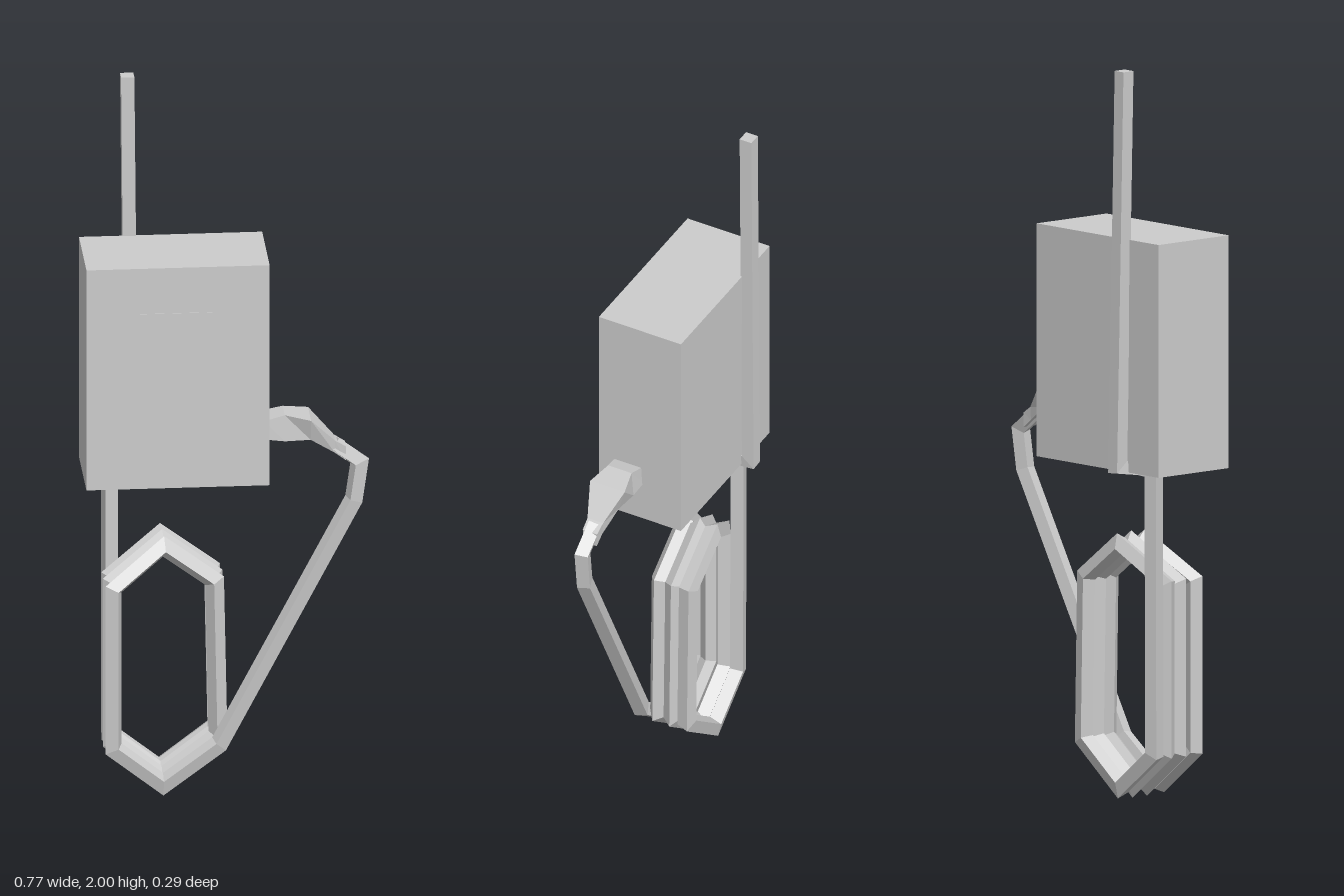
import * as THREE from 'three';

const V = (x, y, z) => new THREE.Vector3(x, y, z);
const material = new THREE.MeshStandardMaterial({ color: 0xcccccc, flatShading: true });

function add(parent, geometry, name, x = 0, y = 0, z = 0) {
  const mesh = new THREE.Mesh(geometry, material);
  mesh.name = name;
  mesh.position.set(x, y, z);
  parent.add(mesh);
  return mesh;
}

// Skins four-cornered rings, each counter-clockwise about the travel direction
function loft(rings) {
  const pos = [];
  const quad = (a, b, c, d) => [a, b, c, a, c, d].forEach(p => pos.push(p.x, p.y, p.z));
  for (let r = 0; r < rings.length - 1; r++) {
    const a = rings[r], b = rings[r + 1];
    for (let i = 0; i < 4; i++) {
      const j = (i + 1) % 4;
      quad(a[i], a[j], b[j], b[i]);
    }
  }
  quad(...[...rings[0]].reverse());
  quad(...rings[rings.length - 1]);
  const g = new THREE.BufferGeometry();
  g.setAttribute('position', new THREE.Float32BufferAttribute(pos, 3));
  g.computeVertexNormals();
  return g;
}

// Square cable along a path that starts downward, with mitred bends
function cable(points, half) {
  let ring = [[1, 1], [-1, 1], [-1, -1], [1, -1]]
    .map(([x, z]) => V(x * half, 0, z * half).add(points[0]));
  const rings = [ring];
  for (let i = 1; i < points.length; i++) {
    const dir = points[i].clone().sub(points[i - 1]).normalize();
    const normal = dir.clone();
    if (i < points.length - 1) {
      normal.add(points[i + 1].clone().sub(points[i]).normalize()).normalize();
    }
    // slide every corner along the segment onto the mitre plane
    ring = ring.map(p => {
      const t = points[i].clone().sub(p).dot(normal) / dir.dot(normal);
      return p.clone().addScaledVector(dir, t);
    });
    rings.push(ring);
  }
  return loft(rings);
}

export function createModel() {
  const model = new THREE.Group();
  model.name = 'wallBoxWithCable';

  // Housing and its thin front panel
  add(model, new THREE.BoxGeometry(0.495, 0.635, 0.252), 'housing', -0.1375, 1.2225, 0.021);
  add(model, new THREE.BoxGeometry(0.195, 0.133, 0.004), 'frontPanel', -0.1425, 1.343, 0.147);

  // Supply conduit: down the back, then hooked under the housing
  const path = [
    V(-0.254, 2, -0.113), V(-0.243, 0.92, -0.126),
    V(-0.25, 0.909, -0.053), V(-0.307, 0.906, -0.053),
  ];

  // Hanging coil: each turn steps forward while crossing the top left
  const turns = [-0.051, -0.006, 0.038, 0.09];
  turns.forEach((z, k) => {
    if (k > 0) path.push(V(-0.307, 0.595, z));
    path.push(V(-0.307, 0.135, z), V(-0.173, 0.029, z));
    if (k < turns.length - 1) {
      path.push(V(-0.021, 0.145, z), V(-0.03, 0.592, z), V(-0.168, 0.695, z));
    }
  });

  // Free end: up the side and over into the plug
  path.push(V(-0.022, 0.14, 0.088), V(0.344, 0.826, 0.062), V(0.36, 0.935, 0.06), V(0.29, 0.988, 0.06));
  add(model, cable(path, 0.018), 'cable');

  // Plug handle: x, bottom y, top y, half width of the bottom and top
  const sections = [
    [0.10, 1.02, 1.072, 0.045, 0.042],
    [0.155, 1.012, 1.085, 0.042, 0.036],
    [0.225, 1.012, 1.073, 0.036, 0.053],
    [0.292, 0.967, 1.003, 0.022, 0.024],
    [0.322, 0.944, 0.984, 0.021, 0.022],
  ];
  const plugRings = sections.map(([x, lo, hi, wl, wh]) => [
    V(x, hi, 0.058 + wh), V(x, hi, 0.058 - wh),
    V(x, lo, 0.058 - wl), V(x, lo, 0.058 + wl),
  ].reverse());
  add(model, loft(plugRings), 'plug');

  return model;
}
